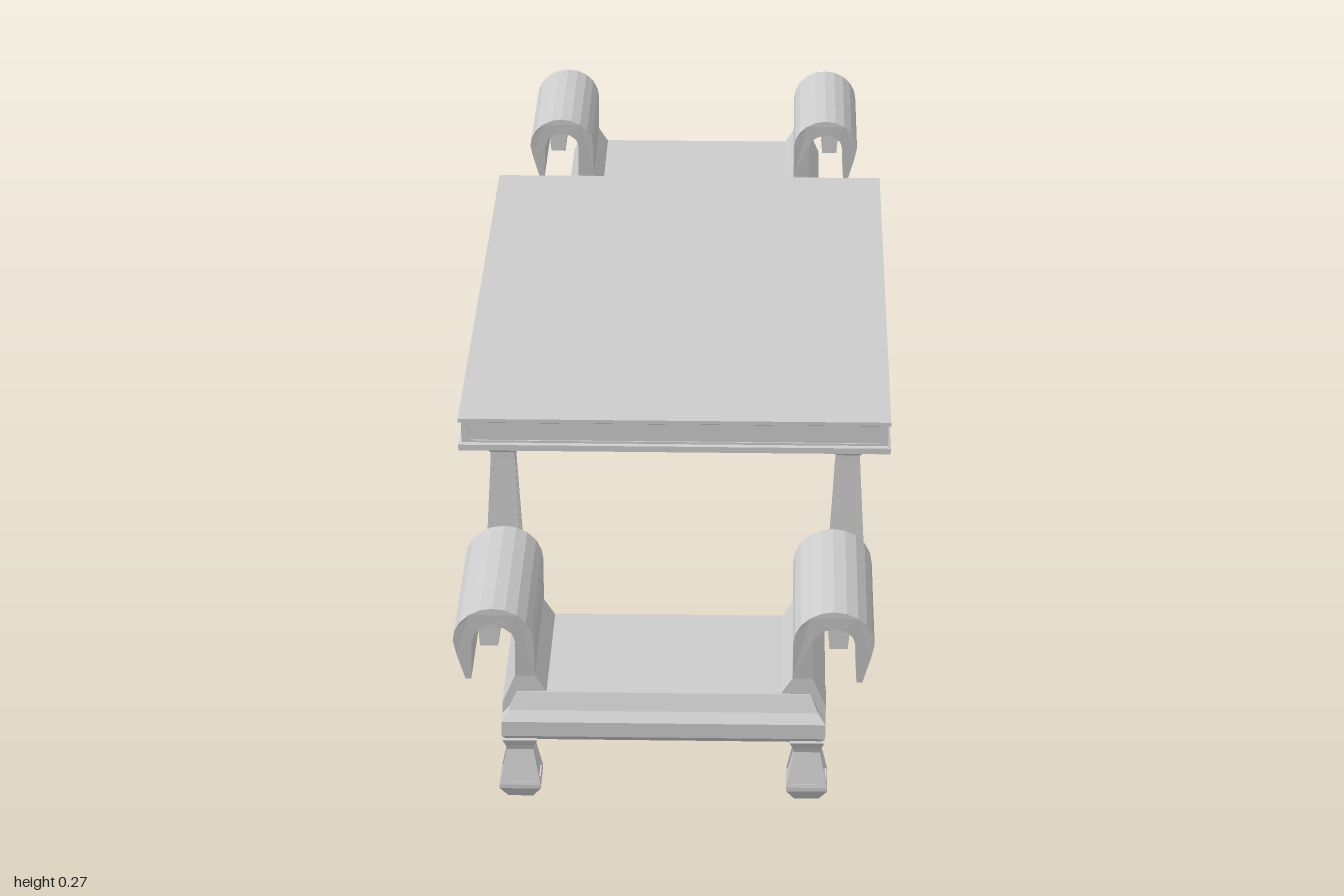
import * as THREE from 'three';

const material = new THREE.MeshStandardMaterial({ color: 0xcccccc, flatShading: true });

// Stack of rectangular rings [y, halfX, halfZ]; bands listed in panels get a sunken panel per side
function loft(rings, panels = {}) {
  const pos = [];
  const quad = (a, b, c, d) => {
    for (const p of [a, b, c, a, c, d]) pos.push(p.x, p.y, p.z);
  };
  const corners = rings.map(([y, hx, hz]) =>
    [[1, 1], [1, -1], [-1, -1], [-1, 1]].map(([sx, sz]) => new THREE.Vector3(sx * hx, y, sz * hz)));

  const sunken = (face, { u, v, depth }) => {
    const [a, b, c, d] = face;
    const normal = b.clone().sub(a).cross(d.clone().sub(a)).normalize();
    const at = (s, t) => a.clone().lerp(b, s).lerp(d.clone().lerp(c, s), t);
    const inner = [at(u, v), at(1 - u, v), at(1 - u, 1 - v), at(u, 1 - v)];
    const deep = inner.map(p => p.clone().addScaledVector(normal, -depth));
    for (let i = 0; i < 4; i++) {
      const j = (i + 1) % 4;
      quad(face[i], face[j], inner[j], inner[i]);
      quad(inner[i], inner[j], deep[j], deep[i]);
    }
    quad(...deep);
  };

  for (let k = 0; k < corners.length - 1; k++) {
    for (let i = 0; i < 4; i++) {
      const j = (i + 1) % 4;
      const face = [corners[k][i], corners[k][j], corners[k + 1][j], corners[k + 1][i]];
      if (panels[k]) sunken(face, panels[k]);
      else quad(...face);
    }
  }
  quad(...corners[0].slice().reverse());
  quad(...corners[corners.length - 1]);

  const geometry = new THREE.BufferGeometry();
  geometry.setAttribute('position', new THREE.Float32BufferAttribute(pos, 3));
  geometry.computeVertexNormals();
  return geometry;
}

function addMesh(parent, name, geometry, x = 0, y = 0, z = 0) {
  const mesh = new THREE.Mesh(geometry, material);
  mesh.name = name;
  mesh.position.set(x, y, z);
  parent.add(mesh);
  return mesh;
}

function addFourLegs(parent, name, geometry, x, z) {
  for (const sx of [-1, 1]) for (const sz of [-1, 1]) addMesh(parent, name, geometry, sx * x, 0, sz * z);
}

function createTable() {
  const table = new THREE.Group();
  table.name = 'table';
  // Top slab with a recessed edge between two thin lips
  addMesh(table, 'tableTop', loft([
    [0.222, 0.283, 0.453], [0.23, 0.283, 0.453], [0.232, 0.279, 0.449],
    [0.26, 0.279, 0.449], [0.262, 0.283, 0.453], [0.267, 0.283, 0.453],
  ], { 2: { u: 0.02, v: 0.1, depth: 0.002 } }));
  // Tapered leg: pointed foot, panelled shaft, flared capital
  const leg = loft([
    [0.003, 0.015, 0.015], [0.018, 0.025, 0.025], [0.023, 0.025, 0.025],
    [0.19, 0.016, 0.016], [0.2, 0.016, 0.016], [0.213, 0.027, 0.027], [0.224, 0.03, 0.03],
  ], { 2: { u: 0.14, v: 0.03, depth: 0.003 } });
  addFourLegs(table, 'tableLeg', leg, 0.228, 0.392);
  return table;
}

// Scrolled arm on the -x side, extruded along z and narrowing downwards
function armGeometry() {
  const arc = (rx, ry, from, to, steps) => Array.from({ length: steps + 1 }, (_, i) => {
    const a = THREE.MathUtils.degToRad(from + (to - from) * i / steps);
    return [-0.205 + rx * Math.cos(a), 0.205 + ry * Math.sin(a)];
  });
  const outline = [
    [-0.196, 0.105], [-0.142, 0.105], [-0.142, 0.134], [-0.156, 0.155],
    ...arc(0.049, 0.045, 0, 180, 10),
    [-0.25, 0.185], [-0.24, 0.15], [-0.233, 0.15], [-0.231, 0.185],
    ...arc(0.026, 0.021, 180, 0, 6),
    [-0.18, 0.155], [-0.196, 0.118],
  ];
  const geometry = new THREE.ExtrudeGeometry(
    new THREE.Shape(outline.map(([x, y]) => new THREE.Vector2(x, y))),
    { depth: 2, bevelEnabled: false });
  geometry.translate(0, 0, -1);
  const p = geometry.attributes.position;
  for (let i = 0; i < p.count; i++) {
    p.setZ(i, p.getZ(i) * THREE.MathUtils.mapLinear(
      THREE.MathUtils.clamp(p.getY(i), 0.155, 0.235), 0.155, 0.235, 0.106, 0.118));
  }
  geometry.computeVertexNormals();
  return geometry;
}

function createBench(z) {
  const bench = new THREE.Group();
  bench.name = 'bench';
  bench.position.z = z;
  // Seat frame with the cushion rising from it
  addMesh(bench, 'seat', loft([
    [0.078, 0.19, 0.124], [0.085, 0.196, 0.13], [0.104, 0.196, 0.13],
    [0.114, 0.187, 0.118], [0.134, 0.178, 0.108],
  ]));
  // Short leg: pointed foot, panelled taper, flared top
  const leg = loft([
    [0, 0.015, 0.015], [0.016, 0.025, 0.027], [0.021, 0.025, 0.027],
    [0.064, 0.016, 0.016], [0.07, 0.017, 0.018], [0.08, 0.021, 0.024],
  ], { 2: { u: 0.14, v: 0.08, depth: 0.002 } });
  addFourLegs(bench, 'benchLeg', leg, 0.174, 0.108);
  // Scrolled arms, each with a curl tucked under the roll
  const arm = armGeometry();
  const curl = loft([[0.192, 0.011, 0.1], [0.215, 0.013, 0.1], [0.228, 0.008, 0.1]]);
  for (const [side, turn] of [['right', 0], ['left', Math.PI]]) {
    const group = new THREE.Group();
    group.name = side + 'Arm';
    group.rotation.y = turn;
    addMesh(group, 'armScroll', arm);
    addMesh(group, 'armCurl', curl, -0.211);
    bench.add(group);
  }
  return bench;
}

export function createModel() {
  const model = new THREE.Group();
  model.name = 'tableWithBenches';
  model.add(createTable(), createBench(0.863), createBench(-0.863));
  return model;
}
